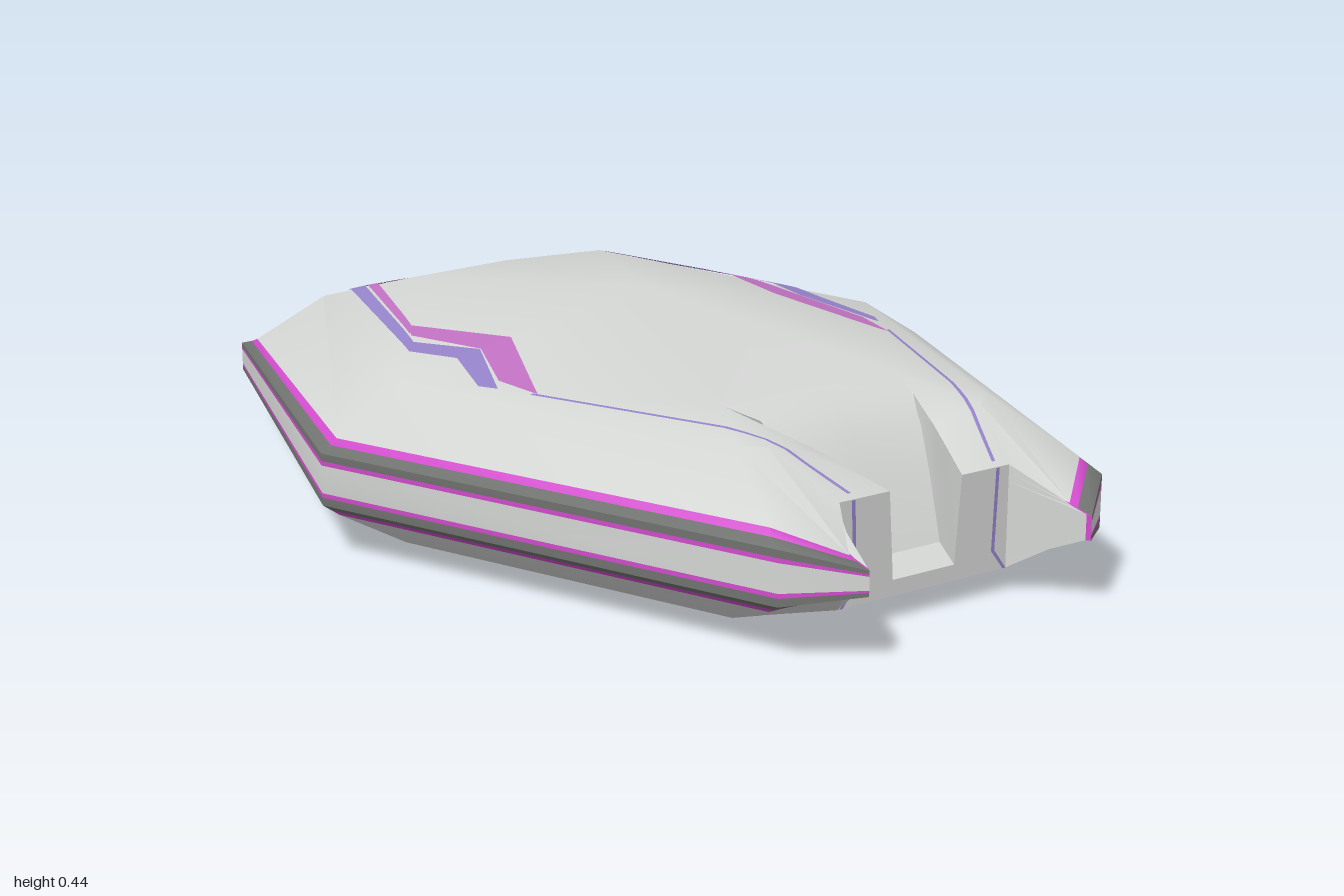
import * as THREE from 'three';
import { toCreasedNormals } from 'three/addons/utils/BufferGeometryUtils.js';

const mat = (name, color, extra = {}) => {
  const m = new THREE.MeshStandardMaterial({ color, ...extra });
  m.name = name;
  return m;
};
const V = (x, y, z) => new THREE.Vector3(x, y, z);

// Collects triangles for both halves, each facing away from a reference point
class Patch {
  constructor() { this.tris = []; }
  tri(a, b, c, ref = V(0, 0.17, 0)) {
    const n = b.clone().sub(a).cross(c.clone().sub(a));
    if (n.lengthSq() < 1e-14) return;
    const mid = a.clone().add(b).add(c).divideScalar(3);
    if (n.dot(mid.sub(ref)) < 0) [b, c] = [c, b];
    const m = (p) => V(-p.x, p.y, p.z);
    this.tris.push([a, b, c], [m(a), m(c), m(b)]);
  }
  quad(a, b, c, d, ref) { this.tri(a, b, c, ref); this.tri(a, c, d, ref); }
  mesh(name, material, crease = 0.7) {
    const g = new THREE.BufferGeometry().setFromPoints(this.tris.flat());
    g.computeVertexNormals();
    const mesh = new THREE.Mesh(toCreasedNormals(g, crease), material);
    mesh.name = name;
    return mesh;
  }
  // Height of the surface above a point in plan
  height(x, z) {
    for (const [a, b, c] of this.tris) {
      const d = (b.z - c.z) * (a.x - c.x) + (c.x - b.x) * (a.z - c.z);
      if (Math.abs(d) < 1e-9) continue;
      const u = ((b.z - c.z) * (x - c.x) + (c.x - b.x) * (z - c.z)) / d;
      const v = ((c.z - a.z) * (x - c.x) + (a.x - c.x) * (z - c.z)) / d;
      if (u > -1e-4 && v > -1e-4 && u + v < 1.0002) return u * a.y + v * b.y + (1 - u - v) * c.y;
    }
    return 0.25;
  }
}

export function createModel() {
  const group = new THREE.Group();
  const hull = mat('hullGrey', 0xd4d6d4);
  const dark = mat('grooveGrey', 0x70726f);
  const trim = mat('trimMagenta', 0xd04ccb);
  const pink = mat('markingPink', 0xc070c0, { side: THREE.DoubleSide });
  const violet = mat('markingViolet', 0x9482c8, { side: THREE.DoubleSide });

  // Stations round the half outline: rim point, shoulder, base, band middle, band scale, inset
  const st = (x, z, s, d, mid, k, inset = 1) => ({ r: V(x, 0, z), s, d, mid, k, inset });
  const stations = [
    st(0, -1, V(0, 0.33, -0.78), V(0, 0, -0.78), 0.155, 0.6),
    st(0.47, -1, V(0.37, 0.33, -0.78), V(0.37, 0, -0.78), 0.155, 0.6),
    st(0.76, -0.05, V(0.58, 0.33, -0.05), V(0.58, 0, -0.05), 0.155, 1),
    st(0.38, 0.9, V(0.3, 0.33, 0.66), V(0.3, 0, 0.66), 0.155, 1),
    st(0.26, 1, V(0.25, 0.325, 0.7), V(0.25, 0, 0.68), 0.155, 0.45),
    st(0.256, 0.99, V(0.247, 0.325, 0.7), V(0.247, 0, 0.68), 0.155, 0.47),
    st(0.2, 0.84, V(0.2, 0.32, 0.7), V(0.2, 0, 0.68), 0.14, 1.3, 0),
    st(0.085, 0.84, V(0.138, 0.3, 0.7), V(0.085, 0, 0.68), 0.14, 1.3, 0),
  ];
  // Rim levels: height offset and inset towards the shoulder or base
  const levels = [[0.085, 0.19], [0.073, 0.12], [0.06, 0], [0.045, 0], [0.036, 0],
    [-0.02, 0], [-0.029, 0], [-0.045, 0], [-0.058, 0.1], [-0.07, 0.19]];
  const bands = [trim, dark, dark, trim, hull, trim, dark, dark, trim];
  const rings = stations.map((s) => levels.map(([k, t]) => {
    const p = s.r.clone().lerp(k > 0 ? s.s : s.d, t * s.inset);
    p.y = s.mid + k * s.k;
    return p;
  }));

  // Upper hull: faceted deck and sloping shoulders
  const upper = new Patch();
  const [S0, SB, SM, SF, ST, ST2, SN, SW] = stations.map((s) => s.s);
  const peak = V(0, 0.445, -0.05), crest0 = V(0, 0.395, -0.61), crest = V(0.25, 0.387, -0.61);
  const Q = V(0.21, 0.35, 0.51), Q0 = V(0, 0.357, 0.51);
  [[peak, crest0, crest], [peak, crest, SM], [crest, SB, SM], [crest0, S0, SB], [crest0, SB, crest],
    [peak, SM, Q], [peak, Q, Q0], [SM, SF, Q], [Q, SF, ST], [Q, ST, ST2], [Q, ST2, SN], [Q, SN, SW],
  ].forEach((t) => upper.tri(...t));

  // Lower hull, and the rim in coloured bands
  const lower = new Patch();
  const rim = new Map([[hull, new Patch()], [dark, new Patch()], [trim, new Patch()]]);
  const last = levels.length - 1;
  for (let i = 0; i < stations.length - 1; i++) {
    const a = stations[i], b = stations[i + 1], ra = rings[i], rb = rings[i + 1];
    upper.quad(a.s, b.s, rb[0], ra[0]);
    lower.quad(a.d, b.d, rb[last], ra[last]);
    lower.tri(V(0, 0, 0), a.d, b.d);
    bands.forEach((m, j) => {
      const material = i < 4 ? m : i === 4 ? trim : hull;
      rim.get(material).quad(ra[j], rb[j], rb[j + 1], ra[j + 1]);
    });
  }
  const W = rings[7], wb = W[last];
  const nose0 = V(0, wb.y, 0.84);
  lower.tri(V(0, 0, 0), stations[7].d, V(0, 0, 0.68));
  lower.quad(stations[7].d, V(0, 0, 0.68), nose0, wb);
  group.add(upper.mesh('upperHull', hull), lower.mesh('lowerHull', hull),
    rim.get(hull).mesh('rimPanel', hull), rim.get(dark).mesh('rimGrooves', dark),
    rim.get(trim).mesh('rimTrim', trim));

  // Front channel: z, wall top, floor height
  const floor = new Patch(), walls = new Patch();
  const cuts = [[0.51, 0.35, 0.352], [0.58, 0.332, 0.335], [0.64, 0.316, 0.285],
    [0.7, 0.3, 0.2], [0.76, 0.278, 0.095], [0.84, 0.25, 0.08]].map(([z, top, y]) => {
    const f = (z - 0.51) / 0.33, x = 0.21 - 0.125 * f;
    return { t: V(x, top, z), e: V(x - 0.012 * f, y, z), c: V(0, y, z) };
  });
  cuts[0].c.copy(Q0);
  cuts[0].e.copy(Q);
  for (let i = 0; i < cuts.length - 1; i++) {
    const a = cuts[i], b = cuts[i + 1];
    floor.quad(a.c, a.e, b.e, b.c, V(0, -2, 0));
    walls.quad(a.t, b.t, b.e, a.e, V(1, 0.2, 0.7));
  }
  const end = cuts[cuts.length - 1];
  walls.quad(end.c, end.e, wb, nose0);
  walls.tri(end.e, W[0], wb);
  group.add(floor.mesh('channelFloor', hull), walls.mesh('channelWalls', hull));

  // Painted ribbons laid just above the deck, as pairs of plan points (outer, inner)
  const ribbon = (name, material, pairs) => {
    const patch = new Patch();
    const on = ([x, z]) => V(x, upper.height(x, z) + 0.004, z);
    const mix = (p, q, t) => [p[0] + (q[0] - p[0]) * t, p[1] + (q[1] - p[1]) * t];
    for (let i = 0; i < pairs.length - 1; i++) {
      const n = 16, [a, b] = pairs[i], [c, d] = pairs[i + 1];
      for (let j = 0; j < n; j++) {
        const t = j / n, u = (j + 1) / n;
        patch.quad(on(mix(a, c, t)), on(mix(b, d, t)), on(mix(b, d, u)), on(mix(a, c, u)), V(0, -2, 0));
      }
    }
    group.add(patch.mesh(name, material));
  };
  ribbon('pinkChevrons', pink, [
    [[0.44, -0.26], [0.41, -0.32]], [[0.4, -0.05], [0.33, -0.05]], [[0.45, 0.1], [0.43, 0.21]]]);
  ribbon('violetChevrons', violet, [
    [[0.49, -0.18], [0.46, -0.23]], [[0.455, -0.05], [0.402, -0.05]], [[0.49, 0.09], [0.47, 0.13]]]);
  ribbon('pinkDeckLine', pink, [
    [[0, -0.728], [0, -0.71]], [[0.295, -0.728], [0.28, -0.71]], [[0.437, -0.27], [0.41, -0.31]]]);
  ribbon('violetDeckLine', violet, [
    [[0, -0.748], [0, -0.732]], [[0.325, -0.748], [0.3, -0.732]], [[0.49, -0.18], [0.46, -0.21]]]);
  ribbon('violetFrontLine', violet, [
    [[0.442, 0.2], [0.434, 0.2]], [[0.174, 0.83], [0.166, 0.83]]]);

  // Thin line running down the blunt front faces
  const front = new Patch();
  const path = [[0.166, 0.25], [0.16, 0.09], [0.19, 0.05]];
  for (let i = 0; i < 2; i++) {
    const [a, b] = [path[i], path[i + 1]];
    front.quad(V(a[0], a[1], 0.843), V(a[0] + 0.008, a[1], 0.843),
      V(b[0] + 0.008, b[1], 0.843), V(b[0], b[1], 0.843));
  }
  group.add(front.mesh('frontFaceLines', violet));
  return group;
}
